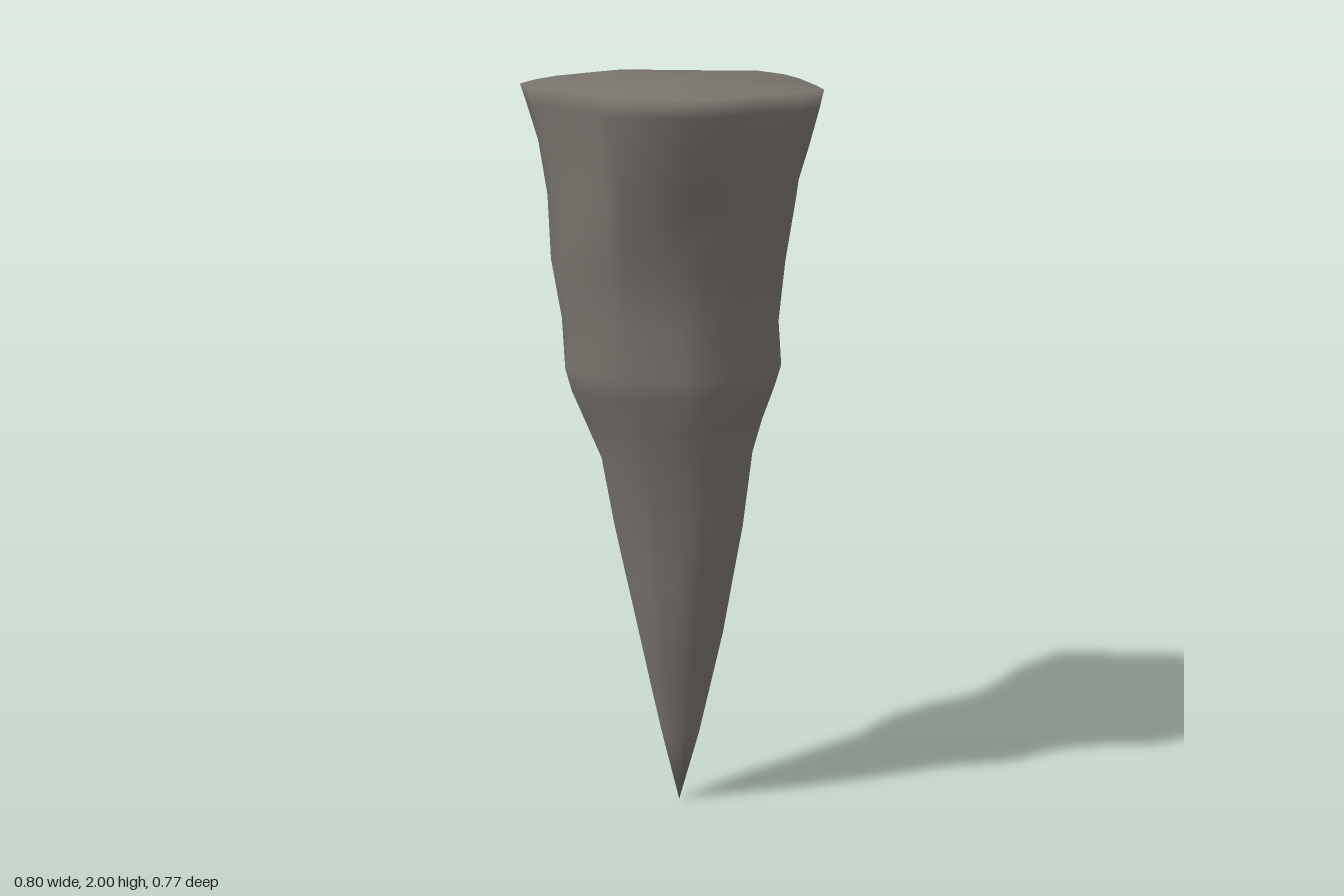
import * as THREE from 'three';

// Outline of the broad end as x, z corners, clockwise from above
const RIM = [
  [-0.15, -0.39], [-0.02, -0.38], [0.09, -0.34], [0.27, -0.25], [0.365, -0.195],
  [0.395, -0.09], [0.37, 0.02], [0.395, 0.12], [0.39, 0.245], [0.3, 0.325],
  [0.205, 0.385], [0.1, 0.353], [-0.02, 0.353], [-0.13, 0.385], [-0.24, 0.335],
  [-0.31, 0.24], [-0.36, 0.135], [-0.385, 0], [-0.4, -0.11], [-0.31, -0.205], [-0.23, -0.29],
];

// Cross-sections: y, then the reach in eight directions, from +x by way of +z, -x and -z
const SECTIONS = [
  [1.985, 0.395, 0.449, 0.385, 0.407, 0.4, 0.382, 0.39, 0.396],
  [1.94, 0.393, 0.435, 0.378, 0.39, 0.38, 0.378, 0.37, 0.385],
  [1.84, 0.388, 0.405, 0.365, 0.355, 0.325, 0.36, 0.33, 0.36],
  [1.7, 0.335, 0.355, 0.342, 0.335, 0.262, 0.318, 0.288, 0.335],
  [1.53, 0.305, 0.303, 0.348, 0.325, 0.232, 0.282, 0.258, 0.305],
  [1.37, 0.28, 0.281, 0.316, 0.3, 0.214, 0.267, 0.243, 0.288],
  [1.25, 0.292, 0.294, 0.335, 0.291, 0.222, 0.272, 0.28, 0.294],
  [1.19, 0.282, 0.28, 0.32, 0.275, 0.2, 0.255, 0.268, 0.275],
  [1.1, 0.25, 0.258, 0.282, 0.238, 0.165, 0.23, 0.238, 0.242],
  [1.0, 0.226, 0.232, 0.25, 0.19, 0.142, 0.203, 0.215, 0.213],
  [0.8, 0.203, 0.192, 0.198, 0.163, 0.11, 0.16, 0.162, 0.19],
  [0.65, 0.178, 0.177, 0.173, 0.13, 0.085, 0.138, 0.122, 0.164],
  [0.5, 0.15, 0.152, 0.145, 0.094, 0.06, 0.105, 0.098, 0.138],
  [0.35, 0.118, 0.118, 0.108, 0.065, 0.042, 0.07, 0.066, 0.103],
  [0.2, 0.085, 0.08, 0.07, 0.036, 0.01, 0.028, 0.038, 0.068],
];

// Radius at an angle of the rounded octagon with the given reaches from (cx, cz)
function radius(reach, cx, cz, angle) {
  let sum = 0;
  reach.forEach((h, i) => {
    const d = (i * Math.PI) / 4;
    const distance = h - cx * Math.cos(d) - cz * Math.sin(d);
    sum += (Math.max(0, Math.cos(angle - d)) / distance) ** 12;
  });
  return sum ** (-1 / 12);
}

// Lobes of the rim outline, fading down the spike
function ring([y, ...reach]) {
  const below = THREE.MathUtils.smoothstep(1.985 - y, 0, 0.45);
  const top = below === 0;
  const cx = top ? 0 : (reach[0] - reach[4]) / 2;
  const cz = top ? 0 : (reach[2] - reach[6]) / 2;
  return RIM.map(([x, z]) => {
    const angle = Math.atan2(z, x);
    const lobe = Math.hypot(x, z) / radius(SECTIONS[0].slice(1), 0, 0, angle);
    const r = radius(reach, cx, cz, angle) * THREE.MathUtils.lerp(lobe, 1, 0.75 * below);
    return [cx + r * Math.cos(angle), y, cz + r * Math.sin(angle)];
  });
}

export function createModel() {
  const group = new THREE.Group();
  group.name = 'stalactite';
  const stone = new THREE.MeshStandardMaterial({ color: 0x78736c });
  stone.name = 'stone';

  const n = RIM.length, rows = SECTIONS.length;
  const points = [...SECTIONS.flatMap(ring), [0, 2, 0], [0.036, 0, 0.02]];
  const top = rows * n, tip = top + 1, last = (rows - 1) * n;
  const index = [];
  for (let i = 0; i < n; i++) {
    const k = (i + 1) % n;
    // Tapering sides
    for (let j = 0; j < last; j += n) {
      index.push(j + i, j + k, j + k + n, j + i, j + k + n, j + i + n);
    }
    // Domed broad end and pointed tip
    index.push(top, k, i, tip, last + i, last + k);
  }
  const geometry = new THREE.BufferGeometry();
  geometry.setAttribute('position', new THREE.Float32BufferAttribute(points.flat(), 3));
  geometry.setIndex(index);
  geometry.computeVertexNormals();

  const spike = new THREE.Mesh(geometry, stone);
  spike.name = 'spike';
  group.add(spike);
  return group;
}
